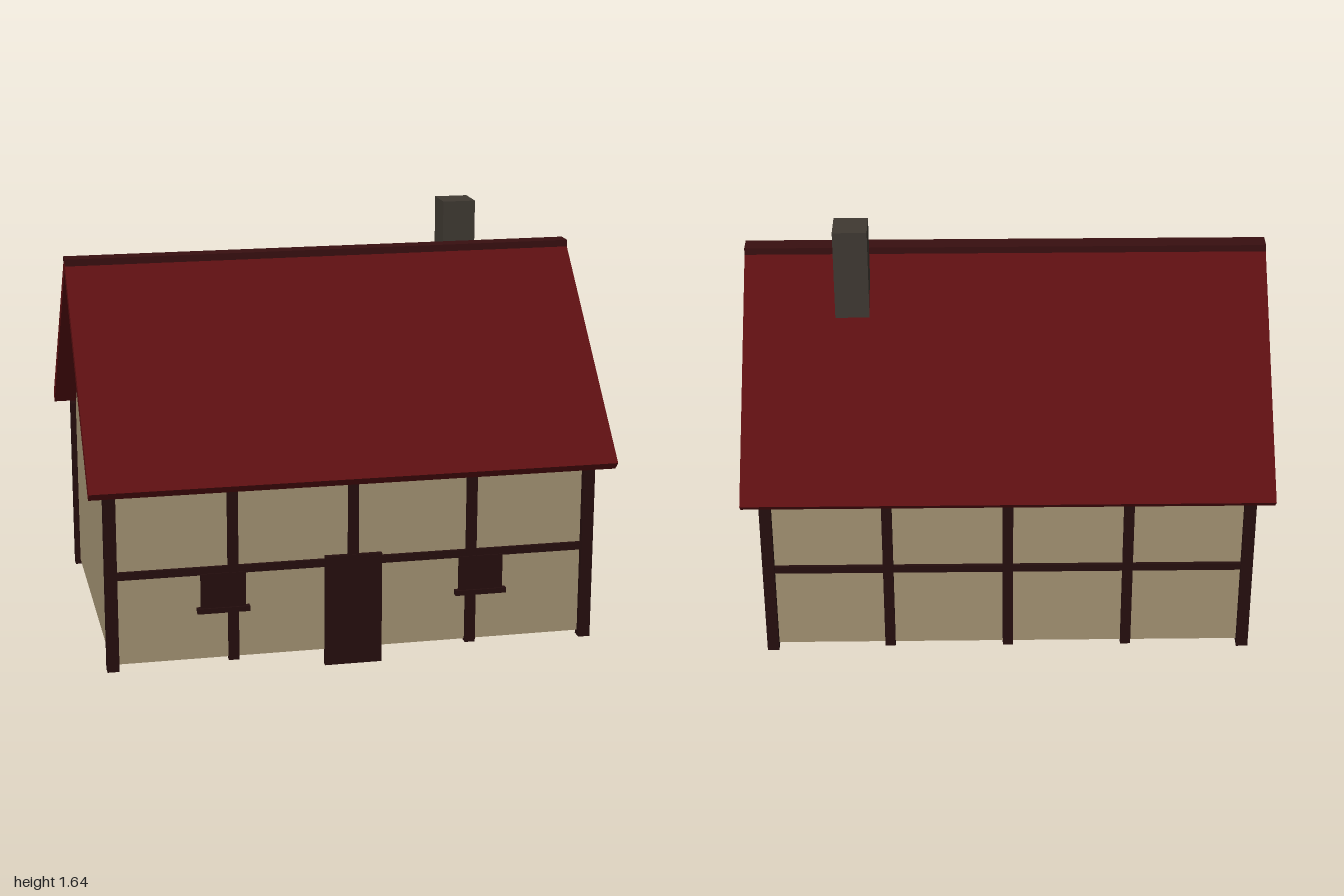
import * as THREE from 'three';

const material = (name, color) => {
  const m = new THREE.MeshStandardMaterial({ color });
  m.name = name;
  return m;
};

export function createModel() {
  const house = new THREE.Group();
  house.name = 'cottage';

  const plaster = material('plaster', 0xa29172);
  const roofRed = material('roof red', 0x5c0f11);
  const ridgeRed = material('ridge dark red', 0x380f10);
  const timber = material('dark timber', 0x250e0e);
  const stone = material('chimney stone', 0x3f3932);

  // Box given by its limits on each axis
  const box = (name, mat, [x0, x1], [y0, y1], [z0, z1]) => {
    const mesh = new THREE.Mesh(new THREE.BoxGeometry(x1 - x0, y1 - y0, z1 - z0), mat);
    mesh.position.set((x0 + x1) / 2, (y0 + y1) / 2, (z0 + z1) / 2);
    mesh.name = name;
    house.add(mesh);
    return mesh;
  };
  const around = (c, width) => [c - width / 2, c + width / 2];

  // Walls
  box('walls', plaster, [-0.92, 0.92], [0.06, 0.74], [-0.62, 0.62]);

  // Thin triangular gables at both ends
  const triangle = new THREE.Shape([
    new THREE.Vector2(-0.61, 0.74),
    new THREE.Vector2(0.61, 0.74),
    new THREE.Vector2(0, 1.355),
  ]);
  const gableGeometry = new THREE.ExtrudeGeometry(triangle, { depth: 0.02, bevelEnabled: false });
  gableGeometry.rotateY(Math.PI / 2);
  for (const x of [-0.92, 0.9]) {
    const gable = new THREE.Mesh(gableGeometry, plaster);
    gable.position.x = x;
    gable.name = 'gable';
    house.add(gable);
  }

  // Timber frame on the front and back
  for (const side of [1, -1]) {
    for (const x of [-0.918, 0.918]) {
      box('cornerPost', timber, around(x, 0.045), [0.04, 0.75], around(side * 0.622, 0.045));
    }
    for (const x of [-0.46, 0, 0.46]) {
      box('stud', timber, around(x, 0.04), [0.05, 0.75], around(side * 0.62, 0.03));
    }
    box('rail', timber, [-0.91, 0.91], [0.395, 0.425], around(side * 0.62, 0.026));
  }

  // Door and windows
  box('door', timber, [-0.11, 0.11], [0, 0.437], [0.618, 0.638]);
  for (const x of [-0.498, 0.498]) {
    box('frontWindow', timber, around(x, 0.17), [0.255, 0.4], [0.615, 0.638]);
    box('windowSill', timber, around(x, 0.2), [0.245, 0.265], [0.615, 0.645]);
  }
  box('sideWindow', timber, [0.915, 0.93], [0.268, 0.405], [-0.08, 0.08]);

  // Two roof slopes at 45 degrees
  const slopeLength = 1.015;
  const half = (slopeLength / 2) * Math.SQRT1_2;
  for (const side of [1, -1]) {
    const slope = new THREE.Mesh(new THREE.BoxGeometry(2, 0.043, slopeLength), roofRed);
    slope.position.set(0, 1.468 - half, side * half);
    slope.rotation.x = side * Math.PI / 4;
    slope.name = 'roofSlope';
    house.add(slope);
  }
  box('ridge', ridgeRed, [-1, 1], [1.462, 1.49], [-0.035, 0.035]);

  // Chimney through the back slope
  box('chimney', stone, [0.52, 0.65], [1.04, 1.64], [-0.215, -0.085]);

  return house;
}
